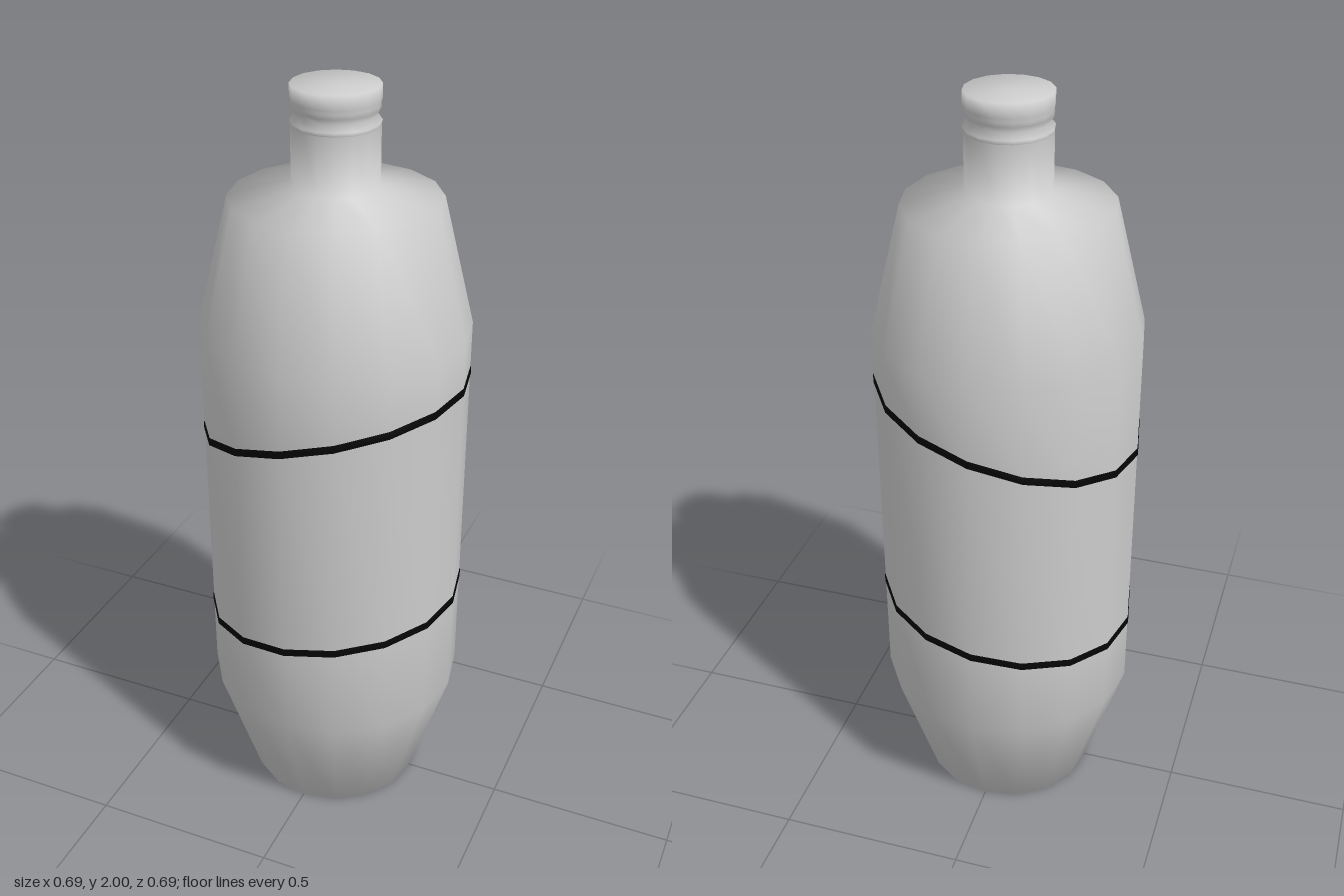
import * as THREE from 'three';

const SIDES = 16;
const R = 0.343;

// Height of a slanted seam line around the bottle (angle 0 is +x).
const upperSeam = (a) => 1.188 + 0.09 * Math.cos(a) - 0.008 * Math.cos(2 * a);
const lowerSeam = (a) => 0.593 + 0.048 * Math.cos(a) - 0.005 * Math.cos(2 * a);
const shifted = (seam, d) => (a) => seam(a) + d;

// Skin a stack of rings [radius, height or height(angle)], listed bottom to top.
function loft(rings) {
  const pos = [], index = [];
  for (const [r, y] of rings) {
    for (let i = 0; i < SIDES; i++) {
      const a = (i / SIDES) * Math.PI * 2;
      pos.push(r * Math.cos(a), typeof y === 'function' ? y(a) : y, r * Math.sin(a));
    }
  }
  for (let k = 0; k < rings.length - 1; k++) {
    for (let i = 0; i < SIDES; i++) {
      const j = (i + 1) % SIDES;
      const a = k * SIDES + i, b = k * SIDES + j, c = a + SIDES, d = b + SIDES;
      if (rings[k + 1][0] > 0) index.push(a, c, d);
      if (rings[k][0] > 0) index.push(a, d, b);
    }
  }
  const geo = new THREE.BufferGeometry();
  geo.setAttribute('position', new THREE.Float32BufferAttribute(pos, 3));
  geo.setIndex(index);
  geo.computeVertexNormals();
  return geo;
}

export function createModel() {
  const group = new THREE.Group();
  const grey = new THREE.MeshStandardMaterial({ color: 0xcccccc });
  const black = new THREE.MeshStandardMaterial({ color: 0x050505 });

  const add = (name, material, rings) => {
    const mesh = new THREE.Mesh(loft(rings), material);
    mesh.name = name;
    group.add(mesh);
  };

  // Tapered base with its closed bottom
  add('lowerBody', grey, [[0, 0], [0.235, 0], [R, 0.345], [R, lowerSeam]]);

  // Straight middle panel between the seams
  add('middlePanel', grey, [[R, lowerSeam], [R, upperSeam]]);

  // Upper body, rounded shoulder and neck in one smooth skin
  add('upperBodyAndNeck', grey, [
    [R, upperSeam], [R, 1.4], [0.262, 1.73], [0.107, 1.76], [0.107, 1.905],
  ]);

  // Cap with a groove below its rim
  add('cap', grey, [
    [0.107, 1.905], [0.109, 1.915], [0.097, 1.93], [0.107, 1.945],
    [0.105, 1.955], [0.108, 1.965], [0.108, 2], [0, 2],
  ]);

  // Thin dark bands over the seams
  for (const [name, seam] of [['lowerBand', lowerSeam], ['upperBand', upperSeam]]) {
    add(name, black, [
      [R - 0.002, shifted(seam, -0.01)], [R + 0.002, shifted(seam, -0.01)],
      [R + 0.002, shifted(seam, 0.01)], [R - 0.002, shifted(seam, 0.01)],
    ]);
  }
  return group;
}
